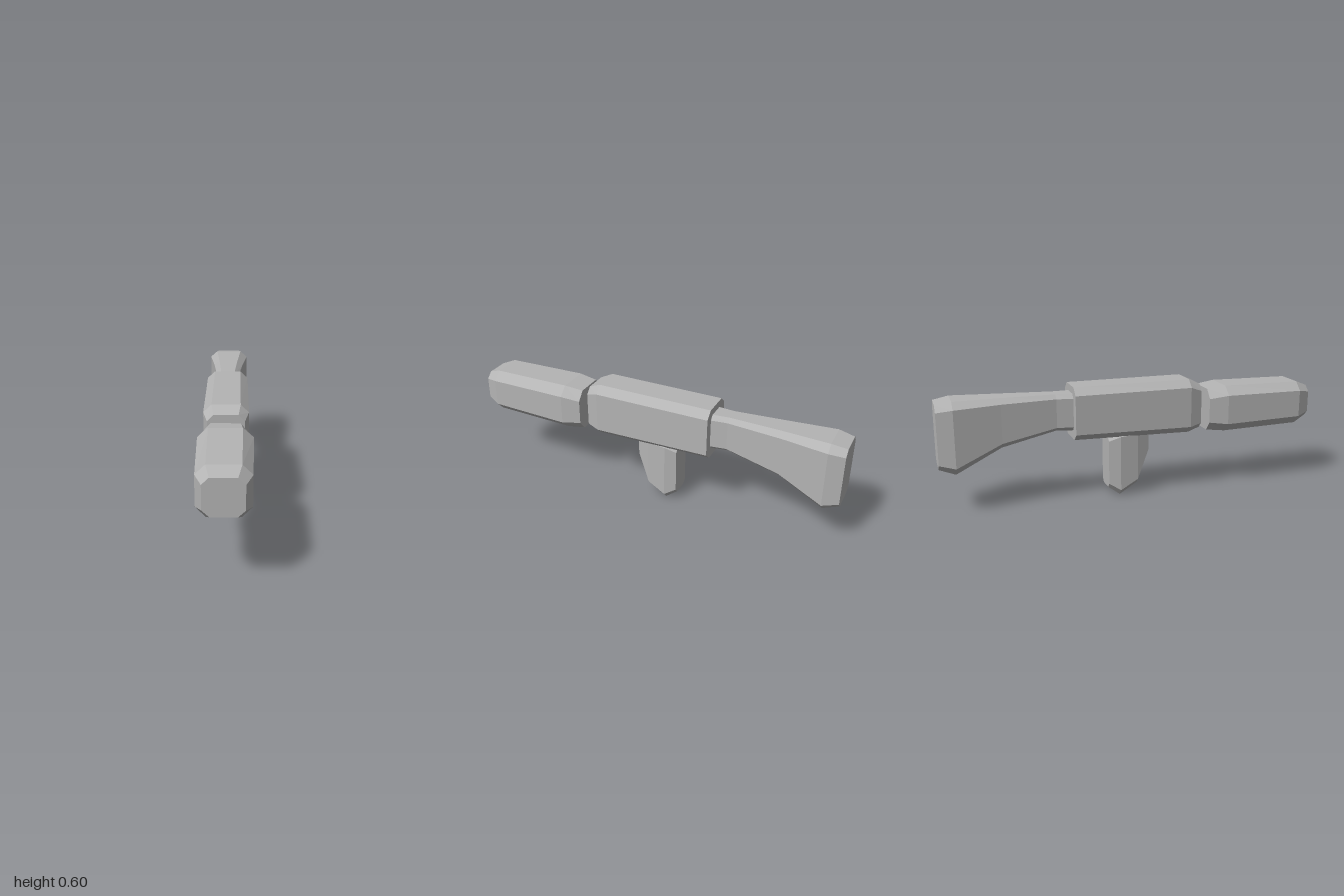
import * as THREE from 'three';

// Eight-sided cross-section, counter-clockwise seen from the front
function ring([z, halfWidth, ridge, top, upperEdge, lowerEdge, bottom]) {
  return [
    [ridge, bottom], [halfWidth, lowerEdge], [halfWidth, upperEdge], [ridge, top],
    [-ridge, top], [-halfWidth, upperEdge], [-halfWidth, lowerEdge], [-ridge, bottom],
  ].map(([x, y]) => [x, y, z]);
}

// Joins cross-sections from front to back and caps both ends
function loft(name, sections, material) {
  const rings = sections.map(ring);
  const points = [];
  const tri = (a, b, c) => points.push(...a, ...b, ...c);
  for (let s = 0; s < rings.length - 1; s++) {
    const front = rings[s], back = rings[s + 1];
    for (let i = 0; i < 8; i++) {
      const j = (i + 1) % 8;
      tri(front[i], back[i], front[j]);
      tri(front[j], back[i], back[j]);
    }
  }
  const first = rings[0], last = rings[rings.length - 1];
  for (let i = 1; i < 7; i++) {
    tri(first[0], first[i], first[i + 1]);
    tri(last[0], last[i + 1], last[i]);
  }
  const geometry = new THREE.BufferGeometry();
  geometry.setAttribute('position', new THREE.Float32BufferAttribute(points, 3));
  geometry.computeVertexNormals();
  const mesh = new THREE.Mesh(geometry, material);
  mesh.name = name;
  return mesh;
}

export function createModel() {
  const grey = new THREE.MeshStandardMaterial({ color: 0xb4b4b4 });
  grey.name = 'plain grey';
  const group = new THREE.Group();
  group.name = 'bevelledRifle';

  // Sections: z, half width, ridge half width, top, upper edge, lower edge, bottom
  group.add(
    loft('barrel', [
      [1.0, 0.09, 0.058, 0.518, 0.487, 0.376, 0.346],
      [0.93, 0.12, 0.075, 0.546, 0.502, 0.36, 0.314],
      [0.5, 0.13, 0.08, 0.552, 0.507, 0.353, 0.306],
      [0.4, 0.11, 0.07, 0.54, 0.492, 0.365, 0.317],
    ], grey),
    loft('receiver', [
      [0.36, 0.09, 0.06, 0.568, 0.535, 0.362, 0.333],
      [0.295, 0.11, 0.07, 0.598, 0.56, 0.35, 0.314],
      [-0.325, 0.11, 0.07, 0.597, 0.56, 0.36, 0.325],
    ], grey),
    loft('stock', [
      [-0.32, 0.065, 0.045, 0.56, 0.538, 0.39, 0.37],
      [-0.41, 0.058, 0.036, 0.561, 0.54, 0.393, 0.374],
      [-0.69, 0.084, 0.054, 0.566, 0.54, 0.343, 0.316],
      [-0.92, 0.112, 0.073, 0.569, 0.535, 0.245, 0.206],
      [-1.0, 0.093, 0.063, 0.555, 0.524, 0.264, 0.235],
    ], grey),
    loft('grip', [
      [0.08, 0.05, 0.035, 0.34, 0.325, 0.232, 0.215],
      [0.015, 0.07, 0.046, 0.345, 0.325, 0.08, 0.055],
      [-0.08, 0.077, 0.05, 0.35, 0.32, 0.03, 0],
      [-0.14, 0.06, 0.04, 0.32, 0.296, 0.066, 0.043],
    ], grey),
  );
  return group;
}
